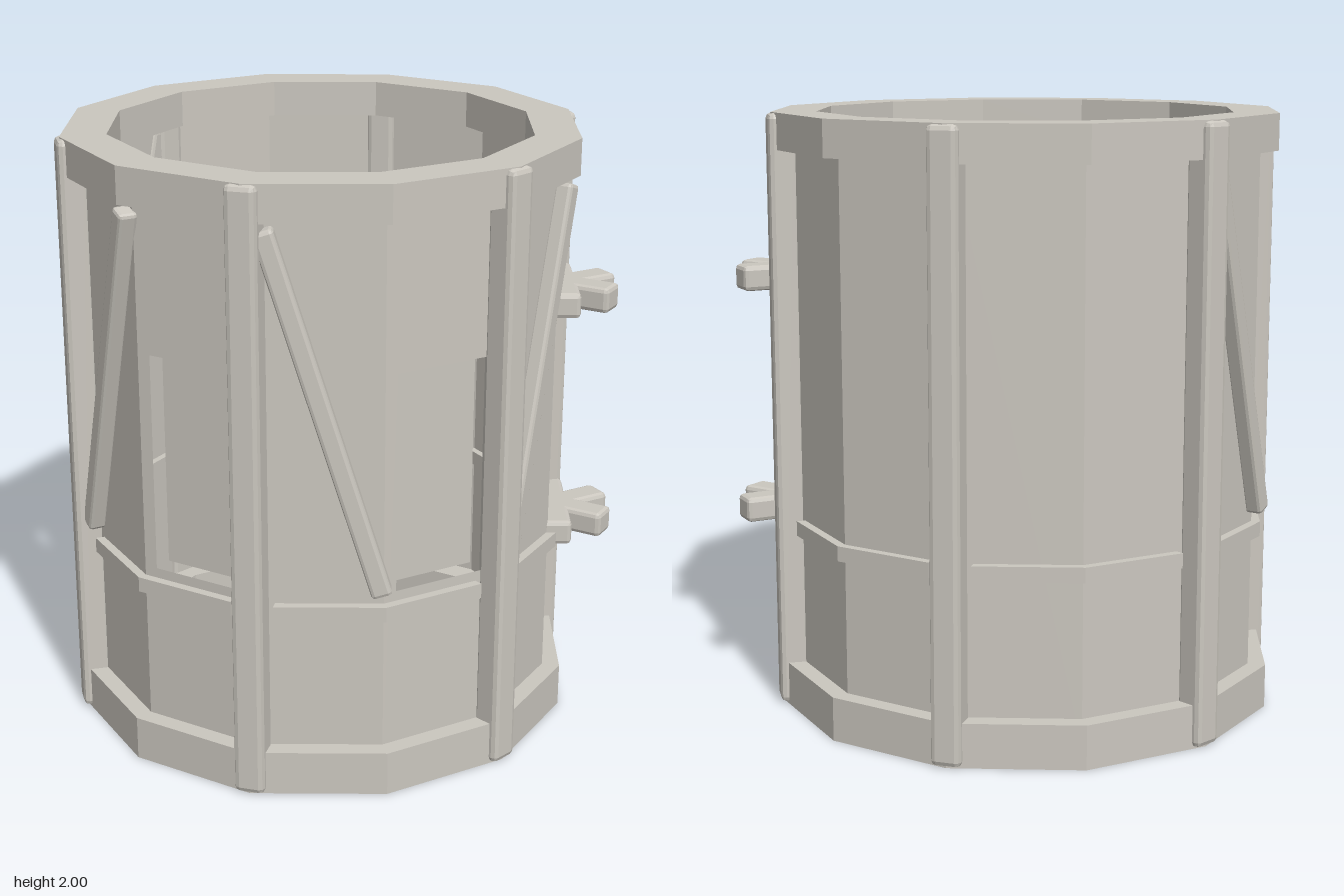
import * as THREE from 'three';
import { RoundedBoxGeometry } from 'three/addons/geometries/RoundedBoxGeometry.js';

const RAD = Math.PI / 180;
const WALL_R = 0.79;
const APOTHEM = WALL_R * Math.cos(15 * RAD);
const HALF_FACE = WALL_R * Math.sin(15 * RAD);

export function createModel() {
  const model = new THREE.Group();
  model.name = 'roundTower';
  const tower = new THREE.Group();
  tower.name = 'tower';
  tower.position.x = -0.06;
  model.add(tower);

  const stone = new THREE.MeshStandardMaterial({ color: 0xcbc7bf, flatShading: true, side: THREE.DoubleSide });
  stone.name = 'pale stone';

  // Holder whose local +z points outward at an angle (degrees from +x towards +z)
  const holder = (name, angle) => {
    const g = new THREE.Group();
    g.name = name;
    g.rotation.y = (90 - angle) * RAD;
    tower.add(g);
    return g;
  };
  const add = (parent, name, geometry, x = 0, y = 0, z = 0) => {
    const m = new THREE.Mesh(geometry, stone);
    m.name = name;
    m.position.set(x, y, z);
    parent.add(m);
    return m;
  };

  // Twelve-sided rims at the top and the foot
  const ring = (name, y0, y1) => {
    const profile = [[0.70, y0], [0.85, y0], [0.85, y1], [0.70, y1], [0.70, y0]];
    add(tower, name, new THREE.LatheGeometry(profile.map(p => new THREE.Vector2(...p)), 12));
  };
  ring('footRing', 0, 0.147);
  ring('topRing', 1.88, 2);

  // Thin wall faces, three of them with an opening and a recessed panel
  const rect = (ShapeType, x0, x1, y0, y1) => {
    const s = new ShapeType();
    s.moveTo(x0, y0);
    s.lineTo(x1, y0);
    s.lineTo(x1, y1);
    s.lineTo(x0, y1);
    s.closePath();
    return s;
  };
  const windowFaces = [75, 135, 195];
  for (let angle = 15; angle < 360; angle += 30) {
    const side = holder('wallSide', angle);
    const face = rect(THREE.Shape, -HALF_FACE, HALF_FACE, 0.05, 1.95);
    if (windowFaces.includes(angle)) {
      face.holes.push(rect(THREE.Path, -0.16, 0.157, 0.68, 1.4));
      const panel = rect(THREE.Shape, -0.16, 0.157, 0.68, 1.4);
      add(side, 'windowPanel', new THREE.ShapeGeometry(panel), 0, 0, APOTHEM - 0.067);
    }
    add(side, 'wall', new THREE.ShapeGeometry(face), 0, 0, APOTHEM);
  }

  // Six upright posts
  const postGeo = new RoundedBoxGeometry(0.1, 1.992, 0.1, 1, 0.018);
  for (let angle = 0; angle < 360; angle += 60) {
    add(holder('postHolder', angle), 'post', postGeo, 0, 1.001, 0.813);
  }

  // Bent rail between each pair of posts
  const bend = (r, side) => {
    const k = 0.83;
    return [side * k * r * 0.5, r * (1 - k + k * Math.cos(30 * RAD))];
  };
  const railShape = new THREE.Shape([
    bend(0.82, -1), [0, 0.82], bend(0.82, 1), bend(0.765, 1), [0, 0.765], bend(0.765, -1),
  ].map(p => new THREE.Vector2(...p)));
  const railGeo = new THREE.ExtrudeGeometry(railShape, { depth: 0.05, bevelEnabled: false });
  railGeo.rotateX(Math.PI / 2);
  for (let angle = 30; angle < 360; angle += 60) {
    add(holder('railHolder', angle), 'rail', railGeo, 0, 0.647, 0);
  }

  // Diagonal braces: [face angle, sideways position of the top, of the bottom]
  const braces = [[45, 0.2, -0.16], [105, -0.16, 0.2], [165, 0.2, -0.16], [225, -0.16, 0.2]];
  for (const [angle, top, bottom] of braces) {
    const low = 0.69, high = 1.855;
    const length = Math.hypot(top - bottom, high - low);
    const geo = new RoundedBoxGeometry(0.066, length, 0.062, 1, 0.012);
    const brace = add(holder('braceHolder', angle), 'brace', geo, (top + bottom) / 2, (low + high) / 2, 0.785);
    brace.rotation.z = -Math.atan2(top - bottom, high - low);
  }

  // Two star-shaped hinges, each made of three crossing bars
  for (const [y, length] of [[1.44, 0.38], [0.642, 0.4]]) {
    const star = new THREE.Group();
    star.name = 'starHinge';
    star.position.set(0.765, y, 0.217);
    const barGeo = new RoundedBoxGeometry(length, 0.085, 0.1, 1, 0.015);
    for (const turn of [15, -45, -105]) {
      add(star, 'hingeBar', barGeo).rotation.y = turn * RAD;
    }
    tower.add(star);
  }
  return model;
}
